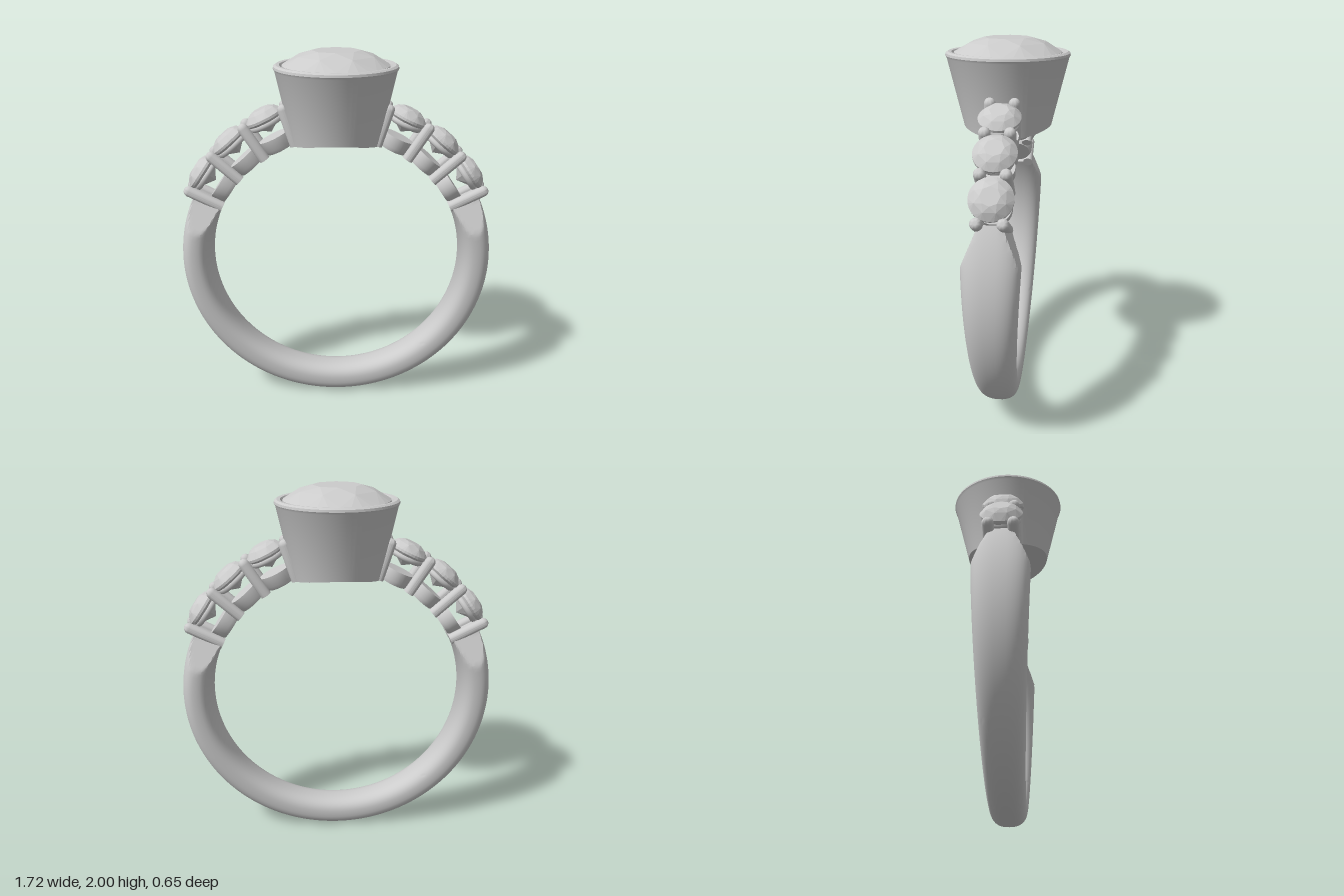
import * as THREE from 'three';
import { toCreasedNormals } from 'three/addons/utils/BufferGeometryUtils.js';
import { ConvexGeometry } from 'three/addons/geometries/ConvexGeometry.js';

const CY = 0.86, INNER = 0.693, OUTER = 0.86;
const rad = THREE.MathUtils.degToRad;
const metal = new THREE.MeshStandardMaterial({ color: 0xcccccc, side: THREE.DoubleSide });
const gemMaterial = new THREE.MeshStandardMaterial({ color: 0xcccccc, flatShading: true });

function part(name, geometry, material = metal) {
  const mesh = new THREE.Mesh(geometry, material);
  mesh.name = name;
  return mesh;
}

const lathe = (points, segments) =>
  toCreasedNormals(new THREE.LatheGeometry(points.map(([r, y]) => new THREE.Vector2(r, y)), segments), 0.6);

// Open band: rounded section that widens upward, shaved flat at the shoulders
function bandGeometry() {
  const rows = 144, cols = 40, positions = [], index = [];
  const mid = (INNER + OUTER) / 2, half = (OUTER - INNER) / 2;
  const soft = (v) => Math.sign(v) * Math.pow(Math.abs(v), 0.8);
  for (let i = 0; i <= rows + 2; i++) {
    const t = THREE.MathUtils.clamp((i - 1) / rows, 0, 1);
    const a = rad(153 + 234 * t);
    const size = i === 0 || i === rows + 2 ? 0 : 1; // end caps close to a point
    for (let j = 0; j <= cols; j++) {
      const p = (j / cols) * Math.PI * 2;
      const r = mid + size * half * soft(Math.cos(p));
      const y = CY + r * Math.sin(a);
      const width = 0.09 + 0.052 * THREE.MathUtils.clamp(y / 1.05, 0, 1);
      const limit = Math.max(0.065, 0.142 - 0.42 * Math.max(0, y - 1.04));
      const z = THREE.MathUtils.clamp(size * width * soft(Math.sin(p)), -limit, limit);
      positions.push(r * Math.cos(a), y, z);
    }
  }
  const n = cols + 1;
  for (let i = 0; i < rows + 2; i++) {
    for (let j = 0; j < cols; j++) {
      const k = i * n + j;
      index.push(k, k + n, k + 1, k + 1, k + n, k + n + 1);
    }
  }
  const g = new THREE.BufferGeometry();
  g.setAttribute('position', new THREE.Float32BufferAttribute(positions, 3));
  g.setIndex(index);
  return toCreasedNormals(g, 0.5);
}

// Faceted round stone, girdle at y = 0
function gemGeometry(radius, crown, pavilion) {
  const points = [new THREE.Vector3(0, -pavilion, 0)];
  const ring = (r, y, count, offset = 0) => {
    for (let i = 0; i < count; i++) {
      const a = ((i + offset) / count) * Math.PI * 2;
      points.push(new THREE.Vector3(Math.cos(a) * r * radius, y, Math.sin(a) * r * radius));
    }
  };
  ring(0.45, crown, 8);
  ring(0.74, crown * 0.72, 8, 0.5);
  ring(1, radius * 0.06, 32);
  ring(1, -radius * 0.06, 32);
  ring(0.6, -pavilion * 0.5, 8, 0.5);
  return new ConvexGeometry(points);
}

// Tapered cup whose underside follows the finger opening
function bezelGeometry() {
  const bottom = 1.5;
  const g = new THREE.LatheGeometry([
    [0.115, bottom], [0.145, bottom], [0.175, bottom], [0.205, bottom], [0.232, bottom],
    [0.317, 1.9], [0.324, 1.912], [0.322, 1.924], [0.31, 1.932], [0.292, 1.93],
    [0.277, 1.91], [0.27, 1.87], [0.115, 1.66], [0.115, bottom],
  ].map(([r, y]) => new THREE.Vector2(r, y)), 72);
  const p = g.attributes.position;
  for (let i = 0; i < p.count; i++) {
    if (p.getY(i) < bottom + 0.01) p.setY(i, CY + Math.sqrt(INNER ** 2 - p.getX(i) ** 2));
  }
  return toCreasedNormals(g, 0.6);
}

export function createModel() {
  const ring = new THREE.Group();
  ring.name = 'ring';
  ring.add(part('band', bandGeometry()));

  // Main stone in its cup
  ring.add(part('bezel', bezelGeometry()));
  const mainStone = part('mainStone', gemGeometry(0.28, 0.09, 0.22), gemMaterial);
  mainStone.position.y = 1.91;
  ring.add(mainStone);

  // Shared shapes for the shoulders, with local y pointing away from the ring centre
  const tip = [0, 18, 36, 54, 72, 90].map((d) => [0.029 * Math.cos(rad(d)), 0.89 + 0.029 * Math.sin(rad(d))]);
  const prongGeometry = lathe([[0, INNER], [0.029, INNER], ...tip], 20);
  const stoneGeometry = gemGeometry(0.106, 0.05, 0.085);
  const drumGeometry = lathe([[0, INNER], [0.074, INNER], [0.086, 0.715], [0.088, 0.77], [0, 0.77]], 32);
  const collarGeometry = new THREE.TorusGeometry(0.08, 0.017, 10, 36).rotateX(Math.PI / 2);

  const radial = (name, angle) => {
    const group = new THREE.Group();
    group.name = name;
    group.position.y = CY;
    group.rotation.z = rad(angle - 90);
    ring.add(group);
    return group;
  };

  for (const side of ['left', 'right']) {
    const place = (angle) => (side === 'left' ? angle : 180 - angle);
    // Prong pairs
    for (const angle of [27, 42, 57, 72]) {
      const pair = radial(side + 'ProngPair', place(angle));
      for (const z of [-0.061, 0.061]) {
        const prong = part('prong', prongGeometry);
        prong.position.z = z;
        pair.add(prong);
      }
    }
    // Side stones, each on a collar and a drum
    for (const angle of [34.5, 49.5, 64.5]) {
      const setting = radial(side + 'SideSetting', place(angle));
      const stone = part('sideStone', stoneGeometry, gemMaterial);
      stone.position.y = 0.88;
      const collar = part('collar', collarGeometry);
      collar.position.y = 0.85;
      setting.add(stone, collar, part('drum', drumGeometry));
    }
  }
  return ring;
}
